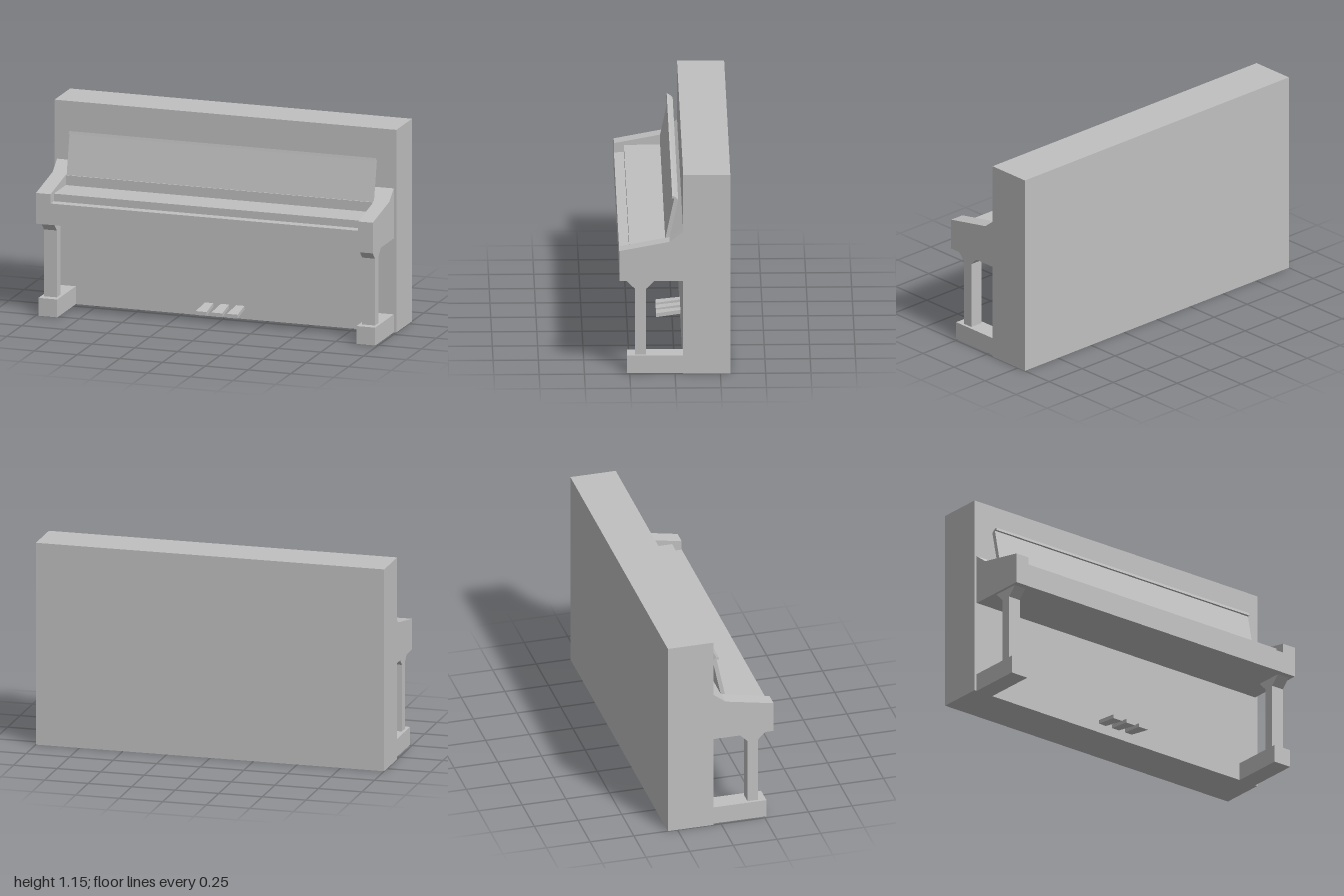
import * as THREE from 'three';

export function createModel() {
  const model = new THREE.Group();
  const grey = new THREE.MeshStandardMaterial({ color: 0xc0c0c0 });
  grey.name = 'plain grey';

  const add = (name, geometry) => {
    const mesh = new THREE.Mesh(geometry, grey);
    mesh.name = name;
    model.add(mesh);
    return mesh;
  };

  // box given by its limits on each axis
  const block = (name, x0, x1, y0, y1, z0, z1) =>
    add(name, new THREE.BoxGeometry(x1 - x0, y1 - y0, z1 - z0)
      .translate((x0 + x1) / 2, (y0 + y1) / 2, (z0 + z1) / 2));

  // side profile of [z, y] points, extruded from x0 to x1
  const profile = (name, points, x0, x1) => {
    const shape = new THREE.Shape(points.map(([z, y]) => new THREE.Vector2(z, y)));
    const geometry = new THREE.ExtrudeGeometry(shape, { depth: x1 - x0, bevelEnabled: false });
    return add(name, geometry.rotateY(-Math.PI / 2).translate(x1, 0, 0));
  };

  // tall case
  block('cabinet', -1, 1, 0, 1.155, -0.305, -0.045);

  // key bed with closed lid and sloping shelf behind it
  profile('keyBedAndLid', [
    [-0.045, 0.535], [0.305, 0.535], [0.305, 0.657], [0.25, 0.657], [0.25, 0.7],
    [0.05, 0.7], [0.05, 0.756], [0.03, 0.76], [-0.045, 0.82],
  ], -0.9, 0.9);

  // leaning music desk with a small lip on top
  profile('musicDesk', [
    [0.028, 0.758], [0.051, 0.758], [0.003, 0.984], [0.017, 0.984], [0.014, 1.0],
    [0.002, 0.996], [-0.019, 0.976],
  ], -0.895, 0.895);

  // arms, legs and feet on both sides
  for (const [side, s] of [['left', 1], ['right', -1]]) {
    const span = (a, b) => (s > 0 ? [a, b] : [-b, -a]);
    profile(side + 'Arm', [
      [-0.045, 0.535], [0.305, 0.535], [0.305, 0.71], [0.03, 0.762], [-0.045, 0.82],
    ], ...span(0.9, 0.985));
    profile(side + 'Leg', [
      [0.16, 0.1], [0.22, 0.1], [0.22, 0.483], [0.27, 0.535], [0.108, 0.535], [0.16, 0.483],
    ], ...span(0.893, 0.968));
    block(side + 'Foot', ...span(0.875, 0.985), 0, 0.102, -0.045, 0.264);
  }

  // three pedals, narrowing and rising towards the case
  for (const x of [-0.095, -0.003, 0.087]) {
    const geometry = new THREE.BoxGeometry(0.064, 0.022, 0.135);
    const p = geometry.attributes.position;
    for (let i = 0; i < p.count; i++) {
      if (p.getZ(i) < 0) {
        p.setX(i, p.getX(i) * 0.75);
        p.setY(i, p.getY(i) + 0.017);
      }
    }
    geometry.computeVertexNormals();
    add('pedal', geometry.translate(x, 0.047, 0.0225));
  }

  return model;
}
